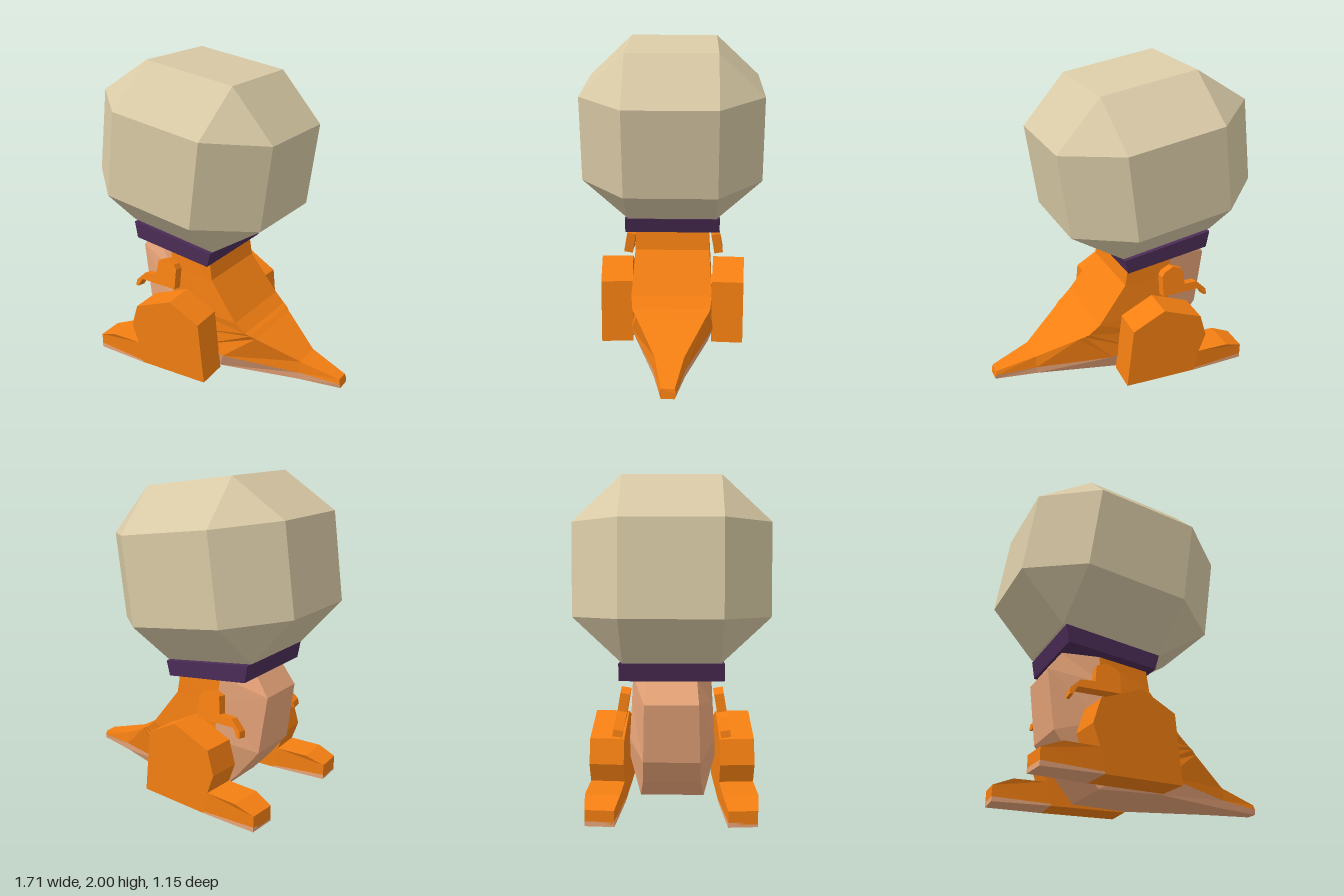
import * as THREE from 'three';
import { ConvexGeometry } from 'three/addons/geometries/ConvexGeometry.js';

const mat = (color) => new THREE.MeshStandardMaterial({ color, flatShading: true });
const orange = mat(0xf47f12), pale = mat(0xeaa67a), purple = mat(0x4b2c56), bone = mat(0xd9caa6);

function part(name, geometry, material) {
  const mesh = new THREE.Mesh(geometry, material);
  mesh.name = name;
  return mesh;
}

// Flat plate: an x-y outline extruded and centred on z = 0
function plate(points, depth) {
  const shape = new THREE.Shape(points.map(([x, y]) => new THREE.Vector2(x, y)));
  const g = new THREE.ExtrudeGeometry(shape, { depth, bevelEnabled: false });
  return g.translate(0, 0, -depth / 2);
}

// Body stations from neck to tail tip: [x, y, half width] at back, flank and belly
const stations = [
  [[-0.03, 0.82, 0.24], [-0.33, 0.85, 0.24], [-0.51, 0.86, 0.15]],
  [[-0.02, 0.76, 0.24], [-0.33, 0.79, 0.24], [-0.535, 0.81, 0.15]],
  [[0.00, 0.62, 0.245], [-0.31, 0.62, 0.25], [-0.62, 0.69, 0.16]],
  [[0.19, 0.37, 0.26], [-0.31, 0.38, 0.265], [-0.57, 0.32, 0.17]],
  [[0.26, 0.31, 0.25], [-0.20, 0.22, 0.27], [-0.43, 0.14, 0.18]],
  [[0.29, 0.295, 0.24], [-0.05, 0.14, 0.27], [-0.30, 0.00, 0.20]],
  [[0.32, 0.275, 0.22], [0.10, 0.10, 0.27], [0.06, 0.00, 0.24]],
  [[0.58, 0.13, 0.09], [0.58, 0.05, 0.10], [0.58, 0.00, 0.095]],
  [[0.84, 0.06, 0.04], [0.848, 0.03, 0.047], [0.85, 0.00, 0.04]],
];

function bodyGeometries() {
  const rings = stations.map(([b, m, f]) => [
    ...[b, m, f].map(([x, y, w]) => [x, y, w]),
    ...[f, m, b].map(([x, y, w]) => [x, y, -w]),
  ]);
  const back = [], belly = [];
  for (let s = 0; s < rings.length - 1; s++) {
    for (let i = 0; i < 6; i++) {
      const j = (i + 1) % 6;
      const a = rings[s][i], b = rings[s][j], c = rings[s + 1][j], d = rings[s + 1][i];
      (i >= 1 && i <= 3 ? belly : back).push(...a, ...b, ...d, ...b, ...c, ...d);
    }
  }
  // End caps at neck and tail tip
  const first = rings[0], last = rings[rings.length - 1];
  for (let i = 1; i < 5; i++) {
    back.push(...first[0], ...first[i + 1], ...first[i]);
    back.push(...last[0], ...last[i], ...last[i + 1]);
  }
  return [back, belly].map((p) => {
    const g = new THREE.BufferGeometry();
    g.setAttribute('position', new THREE.Float32BufferAttribute(p, 3));
    g.computeVertexNormals();
    return g;
  });
}

// Head: a stretched solid of 24 corners, one axis at a time pushed outwards
function headGeometry() {
  const outer = [0.626, 0.541, 0.575], inner = [0.312, 0.2725, 0.287];
  const points = [];
  for (let axis = 0; axis < 3; axis++)
    for (const sx of [-1, 1]) for (const sy of [-1, 1]) for (const sz of [-1, 1]) {
      const p = [sx, sy, sz].map((s, k) => s * (k === axis ? outer[k] : inner[k]));
      points.push(new THREE.Vector3(...p));
    }
  return new ConvexGeometry(points);
}

const legOutline = [[-0.76, 0.012], [-0.76, 0.1], [-0.64, 0.145], [-0.43, 0.145], [-0.475, 0.27],
  [-0.43, 0.42], [-0.17, 0.52], [0.04, 0.41], [0.08, 0], [-0.4, 0]];
const soleOutline = [[-0.76, 0], [-0.76, 0.03], [-0.4, 0.012], [-0.4, 0]];
const armOutline = [[-0.23, 0.525], [-0.23, 0.66], [-0.25, 0.69], [-0.31, 0.715], [-0.375, 0.69],
  [-0.39, 0.58], [-0.48, 0.575], [-0.545, 0.51], [-0.55, 0.47], [-0.53, 0.47], [-0.5, 0.525]];

// Narrow the toe end of a foot plate
function taperToe(g) {
  const p = g.attributes.position;
  for (let i = 0; i < p.count; i++) if (p.getX(i) < -0.7) p.setZ(i, p.getZ(i) * 0.82);
  g.computeVertexNormals();
  return g;
}

export function createModel() {
  const model = new THREE.Group();
  model.name = 'dinosaur';

  const head = part('head', headGeometry(), bone);
  head.position.set(-0.1975, 1.4225, 0);
  head.rotation.z = -0.14;
  model.add(head);

  model.add(part('collar', plate([[-0.57, 0.925], [-0.55, 0.815], [0.01, 0.745], [0.035, 0.84]], 0.62), purple));

  const [back, belly] = bodyGeometries();
  model.add(part('bodyAndTail', back, orange), part('belly', belly, pale));

  for (const side of [1, -1]) {
    const label = side > 0 ? 'Front' : 'Back';

    // Leg with toes turned slightly outwards
    const leg = new THREE.Group();
    leg.name = 'leg' + label;
    leg.add(part('thighAndFoot', taperToe(plate(legOutline, 0.21)), orange));
    leg.add(part('sole', taperToe(plate(soleOutline, 0.212)), pale));
    leg.position.z = 0.37 * side;
    leg.rotation.y = 0.06 * side;
    model.add(leg);

    // Small arm leaning out at the bottom
    const arm = part('arm' + label, plate(armOutline, 0.06).translate(0, -0.62, 0), orange);
    arm.position.set(0, 0.62, 0.298 * side);
    arm.rotation.x = -0.17 * side;
    model.add(arm);
  }
  return model;
}
